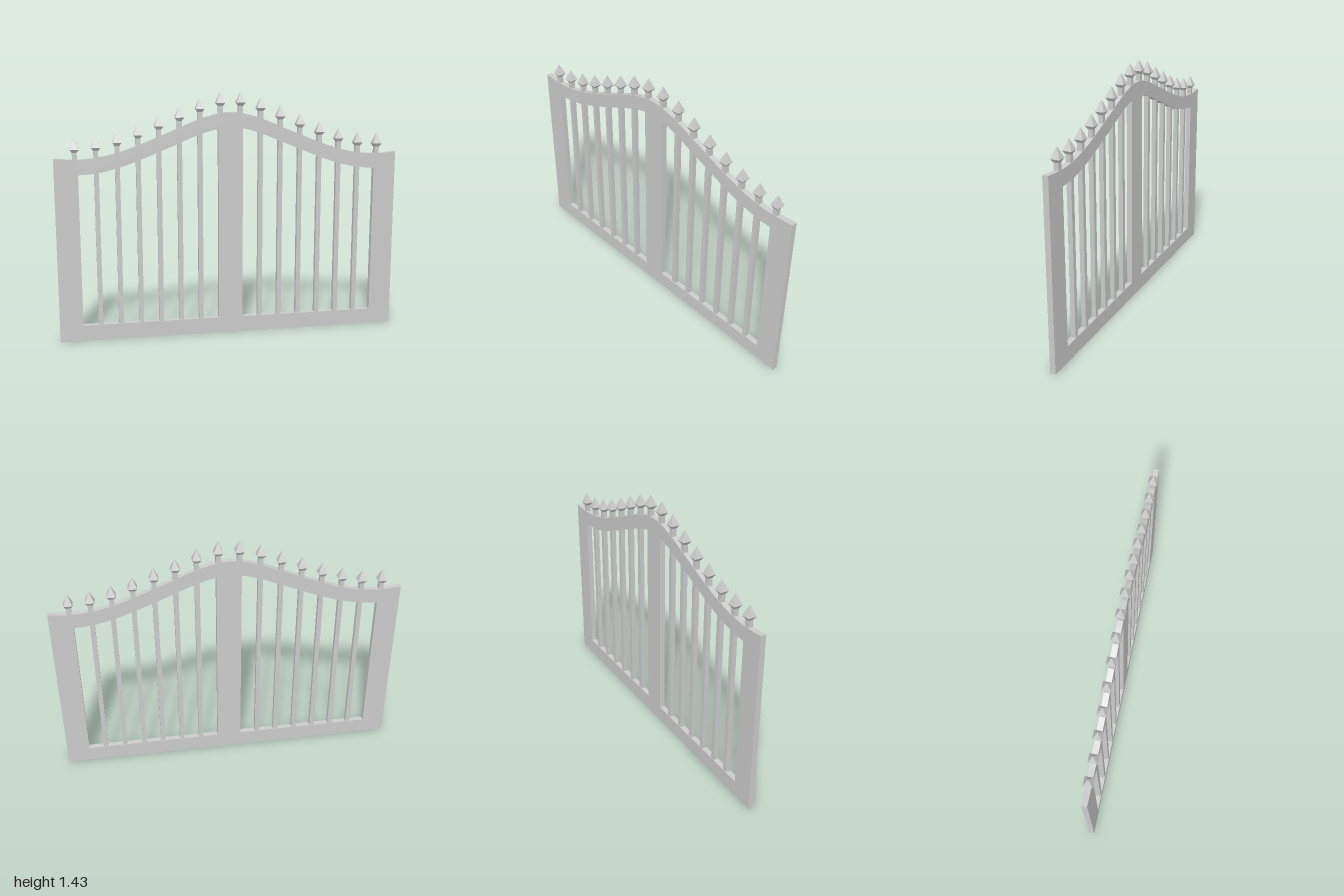
import * as THREE from 'three';

const DEPTH = 0.032;      // frame thickness
const BAR = 0.027;        // square bar width
const SPACING = 0.1178;   // distance between bars
const RAIL = 0.086;       // height of the curved top rail

// Half profile of the arched top edge, from the middle outwards
const half = [
  [0, 1.308], [0.059, 1.305], [0.177, 1.273], [0.294, 1.225], [0.412, 1.177],
  [0.53, 1.13], [0.648, 1.09], [0.766, 1.064], [0.883, 1.056], [1, 1.064],
];

// Smooth height of the top edge at x (cubic Hermite through the profile)
function topY(x) {
  x = Math.min(Math.abs(x), 1);
  const n = half.length;
  const slope = (i) => {
    if (i === 0) return 0;
    const a = half[i - 1], b = half[Math.min(i + 1, n - 1)];
    return (b[1] - a[1]) / (b[0] - a[0]);
  };
  let i = 0;
  while (i < n - 2 && x > half[i + 1][0]) i++;
  const [x0, y0] = half[i], [x1, y1] = half[i + 1];
  const h = x1 - x0, t = (x - x0) / h, t2 = t * t, t3 = t2 * t;
  return y0 * (2 * t3 - 3 * t2 + 1) + slope(i) * h * (t3 - 2 * t2 + t)
    + y1 * (3 * t2 - 2 * t3) + slope(i + 1) * h * (t3 - t2);
}

// Points along the arch between two x positions, lowered by drop
function arch(xa, xb, drop, steps) {
  return Array.from({ length: steps + 1 }, (_, i) => {
    const x = xa + (xb - xa) * i / steps;
    return new THREE.Vector2(x, topY(x) - drop);
  });
}

export function createModel() {
  const gate = new THREE.Group();
  gate.name = 'gate';
  const mat = new THREE.MeshStandardMaterial({ color: 0xcccccc, flatShading: true });

  const add = (name, geo, x, y, parent = gate) => {
    const mesh = new THREE.Mesh(geo, mat);
    mesh.name = name;
    mesh.position.set(x, y, 0);
    parent.add(mesh);
    return mesh;
  };

  // Frame: side posts, middle post, bottom rail and arched top in one panel
  const outline = new THREE.Shape([
    new THREE.Vector2(-1, 0), new THREE.Vector2(1, 0), ...arch(1, -1, 0, 56),
  ]);
  for (const s of [-1, 1]) {
    outline.holes.push(new THREE.Path([
      new THREE.Vector2(s * 0.071, 0.093),
      ...arch(s * 0.071, s * 0.867, RAIL, 24),
      new THREE.Vector2(s * 0.867, 0.093),
    ]));
  }
  const frameGeo = new THREE.ExtrudeGeometry(outline, { depth: DEPTH, bevelEnabled: false });
  frameGeo.translate(0, 0, -DEPTH / 2);
  add('frame', frameGeo, 0, 0);

  // Spearhead: four-sided, with a short lower taper and a long upper point
  const r = Math.SQRT1_2;
  const headGeo = new THREE.LatheGeometry([
    new THREE.Vector2(0, 0),
    new THREE.Vector2(BAR * r, 0),
    new THREE.Vector2(0.051 * r, 0.018),
    new THREE.Vector2(0, 0.08),
  ], 4, Math.PI / 4);

  for (const s of [-1, 1]) {
    const leaf = new THREE.Group();
    leaf.name = s > 0 ? 'leftLeaf' : 'rightLeaf';
    gate.add(leaf);
    for (let i = 0; i < 8; i++) {
      const x = s * SPACING * (i + 0.5), y = topY(x);

      // Upright bars across the opening
      if (i > 0 && i < 7) {
        const y0 = 0.08, y1 = y - RAIL / 2;
        add('bar', new THREE.BoxGeometry(BAR, y1 - y0, BAR), x, (y0 + y1) / 2, leaf);
      }

      // Finial: stem and spearhead above the top rail
      const finial = new THREE.Group();
      finial.name = 'finial';
      finial.position.set(x, y, 0);
      leaf.add(finial);
      add('stem', new THREE.BoxGeometry(BAR, 0.07, BAR), 0, 0.007, finial);
      add('spearhead', headGeo, 0, 0.04, finial);
    }
  }
  return gate;
}
